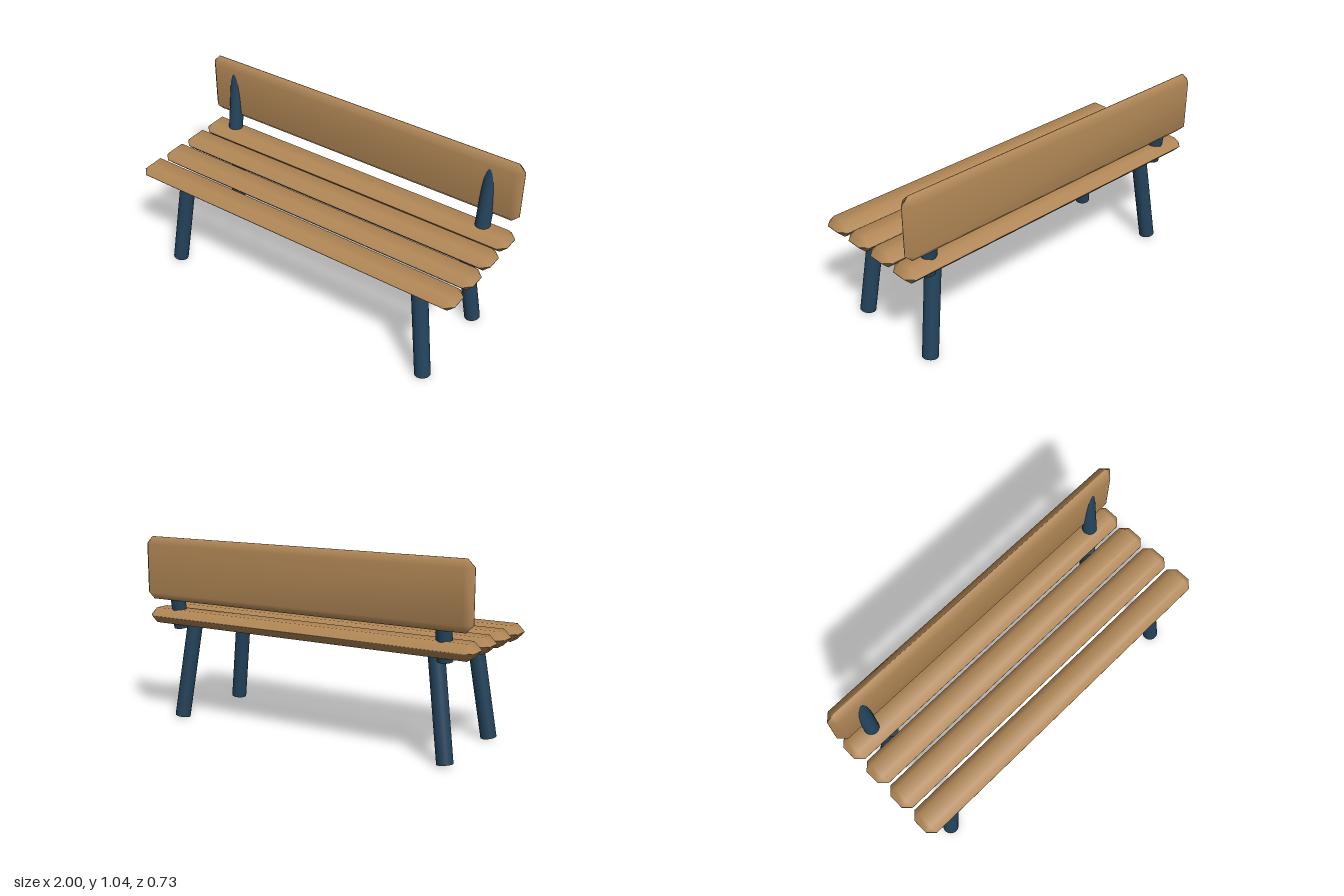
import * as THREE from 'three';
import { ConvexGeometry } from 'three/addons/geometries/ConvexGeometry.js';
import { mergeVertices } from 'three/addons/utils/BufferGeometryUtils.js';

const wood = new THREE.MeshStandardMaterial({ color: 0xb08655 });
const metal = new THREE.MeshStandardMaterial({ color: 0x23435c });

// Plank with wide chamfers on every edge and softened normals
function plank(name, w, h, d, y, z, bevel = 0.04) {
  const half = [w / 2, h / 2, d / 2];
  const points = [];
  for (let axis = 0; axis < 3; axis++) {
    for (const sx of [-1, 1]) for (const sy of [-1, 1]) for (const sz of [-1, 1]) {
      const p = [sx, sy, sz].map((s, i) => s * (half[i] - (i === axis ? 0 : bevel)));
      points.push(new THREE.Vector3(...p));
    }
  }
  let geometry = new ConvexGeometry(points);
  geometry.deleteAttribute('normal');
  geometry = mergeVertices(geometry, 1e-4);
  geometry.computeVertexNormals();
  const mesh = new THREE.Mesh(geometry, wood);
  mesh.name = name;
  mesh.position.set(0, y, z);
  return mesh;
}

// Round bar running from one point to another
function bar(name, from, to, radius) {
  const a = new THREE.Vector3(...from), b = new THREE.Vector3(...to);
  const dir = b.clone().sub(a);
  const mesh = new THREE.Mesh(new THREE.CylinderGeometry(radius, radius, dir.length(), 32), metal);
  mesh.name = name;
  mesh.position.copy(a).add(b).multiplyScalar(0.5);
  mesh.quaternion.setFromUnitVectors(new THREE.Vector3(0, 1, 0), dir.normalize());
  return mesh;
}

export function createModel() {
  const bench = new THREE.Group();
  bench.name = 'bench';

  // Seat: four slats
  const seat = new THREE.Group();
  seat.name = 'seat';
  for (let i = 0; i < 4; i++) {
    seat.add(plank('seatSlat' + (i + 1), 2, 0.085, 0.166, 0.593, 0.283 - i * 0.182));
  }
  bench.add(seat);

  // Backrest board
  bench.add(plank('backrest', 2, 0.352, 0.085, 0.866, -0.322));

  // Splayed legs and leaning back posts, mirrored left and right
  for (const [side, s] of [['left', 1], ['right', -1]]) {
    bench.add(
      bar(side + 'FrontLeg', [s * 0.835, 0.008, 0.283], [s * 0.755, 0.568, 0.243], 0.043),
      bar(side + 'BackLeg', [s * 0.835, 0.008, -0.254], [s * 0.755, 0.568, -0.214], 0.043),
      bar(side + 'BackPost', [s * 0.825, 0.529, -0.256], [s * 0.825, 0.996, -0.323], 0.041)
    );
  }
  return bench;
}
